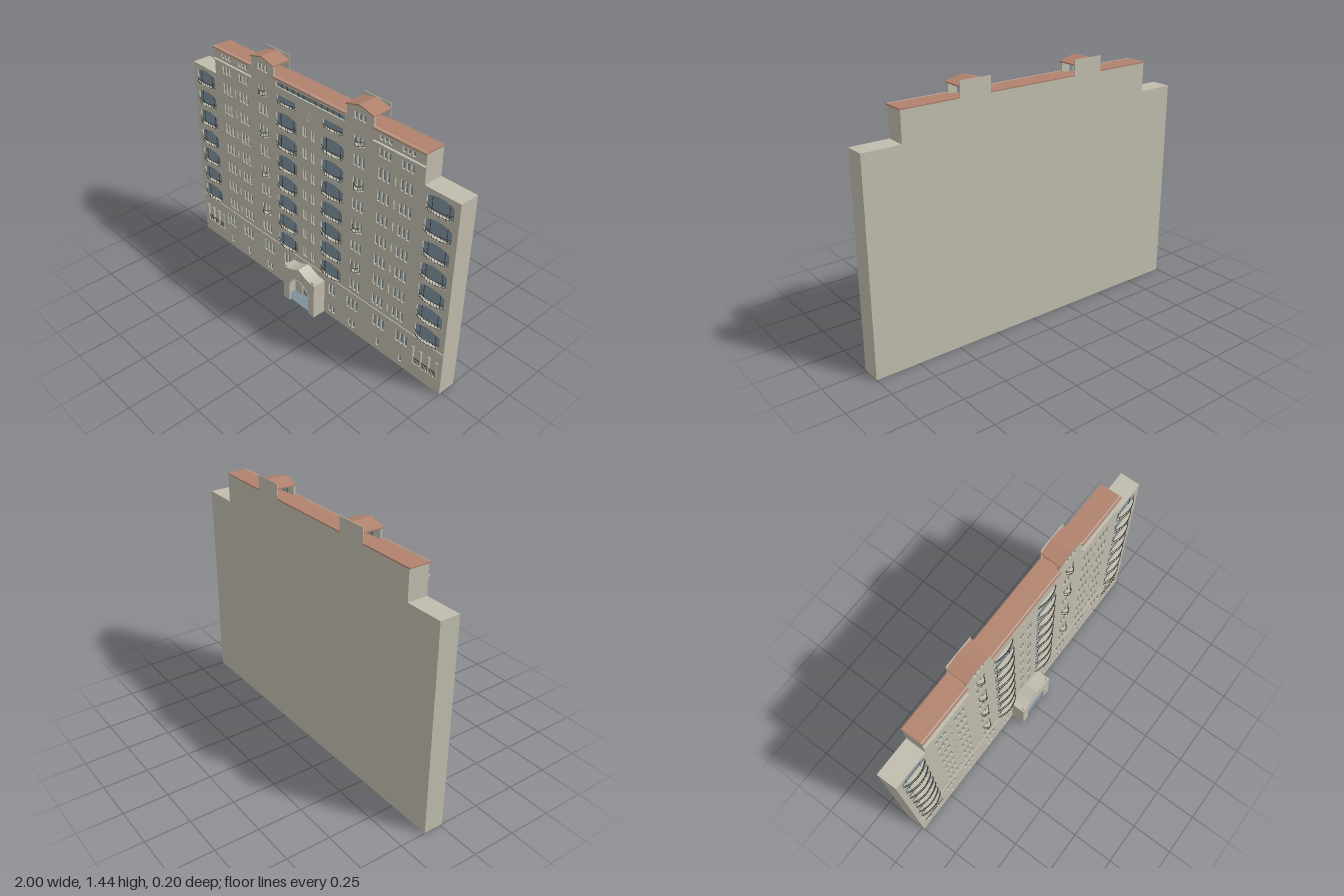
import * as THREE from 'three';

const mat = (name, color) => Object.assign(new THREE.MeshStandardMaterial({ color }), { name });

export function createModel() {
  const model = new THREE.Group();
  const wall = mat('warm stone', 0xbfbbac);
  const glass = mat('blue grey glass', 0x7c8f9b);
  const roof = mat('terracotta', 0xb0826d);
  const iron = mat('dark iron', 0x3a3733);
  const FRONT = 0.015, INNER = 0.003, BACK = -0.1;

  const add = (name, geo, material, x = 0, y = 0, z = 0, parent = model) => {
    const m = new THREE.Mesh(geo, material);
    m.name = name;
    m.position.set(x, y, z);
    parent.add(m);
    return m;
  };
  // box given by its low and high corners
  const box = (name, material, x0, x1, y0, y1, z0, z1, parent) =>
    add(name, new THREE.BoxGeometry(x1 - x0, y1 - y0, z1 - z0), material,
      (x0 + x1) / 2, (y0 + y1) / 2, (z0 + z1) / 2, parent);
  const extrude = (shape, depth) =>
    new THREE.ExtrudeGeometry(shape, { depth, bevelEnabled: false, curveSegments: 12 });
  const mirror = (f) => [-1, 1].forEach(f);

  // arched or square opening outline
  const openingShape = (x, y0, y1, w, rise, Type = THREE.Shape) => {
    const s = new Type();
    s.moveTo(x - w / 2, y0);
    s.lineTo(x + w / 2, y0);
    s.lineTo(x + w / 2, y1 - rise);
    if (rise) s.quadraticCurveTo(x, y1 + rise, x - w / 2, y1 - rise);
    else s.lineTo(x - w / 2, y1);
    s.lineTo(x - w / 2, y0);
    return s;
  };
  // arched doorway notch drawn along the ground line, right to left or left to right
  const notch = (s, r, spring) => {
    s.lineTo(-r, 0);
    s.lineTo(-r, spring);
    s.absarc(0, spring, r, Math.PI, 0, true);
    s.lineTo(r, 0);
  };

  // front wall outline with door notch, stepped ends and two gabled towers
  const T0 = 0.273, T1 = 0.455, TM = (T0 + T1) / 2;
  const facade = new THREE.Shape();
  facade.moveTo(-1, 0);
  notch(facade, 0.06, 0.09);
  [[1, 0], [1, 1.19], [0.785, 1.19], [0.785, 1.353], [T1, 1.353], [T1, 1.408], [TM, 1.432], [T0, 1.408], [T0, 1.353],
    [-T0, 1.353], [-T0, 1.408], [-TM, 1.432], [-T1, 1.408], [-T1, 1.353], [-0.785, 1.353], [-0.785, 1.19], [-1, 1.19]]
    .forEach(([x, y]) => facade.lineTo(x, y));

  const windows = new THREE.Group();
  windows.name = 'windows';
  model.add(windows);
  const opening = (x, y0, y1, w, rise = 0, material = glass) => {
    facade.holes.push(openingShape(x, y0, y1, w, rise, THREE.Path));
    box('windowPane', material, x - w / 2 - 0.001, x + w / 2 + 0.001, y0 - 0.001, y1 + 0.001, INNER, INNER + 0.003, windows);
  };
  const group = (x, y0, y1, n = 3, w = 0.018, step = 0.029) => {
    for (let i = 0; i < n; i++) opening(x + (i - (n - 1) / 2) * step, y0, y1, w);
  };

  // bowed balcony: slab, two rails, balusters and a rounded corbel
  const balcony = (x, y, w, d, h, corbel = true) => {
    const g = new THREE.Group();
    g.name = 'balcony';
    g.position.set(x, y, FRONT);
    model.add(g);
    const s = new THREE.Shape();
    s.moveTo(-w / 2, 0);
    s.quadraticCurveTo(0, 2 * d, w / 2, 0);
    add('balconySlab', extrude(s, 0.006).rotateX(Math.PI / 2), wall, 0, 0.006, 0, g);
    const curve = new THREE.QuadraticBezierCurve3(
      new THREE.Vector3(-w / 2, 0, 0), new THREE.Vector3(0, 0, 2 * d - 0.003), new THREE.Vector3(w / 2, 0, 0));
    const rail = new THREE.TubeGeometry(curve, 10, 0.0018, 4);
    add('topRail', rail, iron, 0, h, 0, g);
    add('bottomRail', rail, iron, 0, 0.009, 0, g);
    const n = Math.round(w / 0.016);
    for (let i = 1; i < n; i++) {
      const p = curve.getPoint(i / n);
      add('baluster', new THREE.BoxGeometry(0.0014, h, 0.0014), iron, p.x, h / 2, p.z, g);
    }
    if (corbel) {
      add('corbel', new THREE.SphereGeometry(1, 12, 5, 0, Math.PI * 2, Math.PI / 2, Math.PI / 2), wall, 0, 0, 0, g)
        .scale.set(w * 0.2, 0.018, d * 0.7);
    }
  };

  // seven repeated upper floors
  for (let i = 0; i < 7; i++) {
    const y = 0.337 + i * 0.131;
    mirror((s) => {
      [0.68, 0.535, 0.365].forEach((x) => group(s * x, y - 0.032, y + 0.032));
      opening(s * 0.61, y - 0.025, y + 0.025, 0.008);
      group(s * 0.032, y - 0.03, y + 0.03, 2, 0.014, 0.018);
      [0.885, 0.177].forEach((x) => {
        const b = y - 0.049;
        opening(s * x, b, b + 0.092, 0.164, 0.02);
        [-0.052, 0.052].forEach((o) =>
          box('mullion', iron, s * x + o - 0.001, s * x + o + 0.001, b, b + 0.088, 0.006, 0.009, windows));
        balcony(s * x, b, 0.166, 0.025, 0.034);
      });
    });
  }

  // attic windows, tower windows and small balconies
  mirror((s) => {
    [0.68, 0.535].forEach((x) => {
      group(s * x, 1.215, 1.26);
      group(s * x, 1.307, 1.332, 3, 0.02);
    });
    group(s * TM, 1.215, 1.26);
    group(s * TM, 1.352, 1.39, 3, 0.02);
    opening(s * 0.177, 1.215, 1.26, 0.145);
    balcony(s * 0.177, 1.212, 0.15, 0.018, 0.026, false);
    [1.213, 0.958, 0.698, 0.438].forEach((y) => balcony(s * TM, y, 0.056, 0.025, 0.034));
  });
  opening(0, 1.305, 1.333, 0.516);
  for (let i = -5; i <= 5; i++)
    box('bandMullion', iron, i * 0.043 - 0.001, i * 0.043 + 0.001, 1.305, 1.333, 0.006, 0.01, windows);

  // ground floor windows and corner arcades
  mirror((s) => {
    [0.72, 0.553, 0.352].forEach((x) => group(s * x, 0.16, 0.233, 3, 0.021, 0.031));
    group(s * 0.19, 0.16, 0.233, 2, 0.021, 0.028);
    [0.72, 0.553].forEach((x) => opening(s * x, 0.032, 0.078, 0.02));
    [0.352, 0.19].forEach((x) => group(s * x, 0.032, 0.078, 2, 0.02, 0.03));
    const a = s * 0.885;
    for (let i = -1; i <= 1; i++) opening(a + i * 0.054, 0.085, 0.225, 0.047, 0.022, wall);
    for (let i = 0; i < 4; i++) {
      const x = a + (i - 1.5) * 0.054;
      add('arcadeColumn', new THREE.CylinderGeometry(0.0035, 0.004, 0.105, 10), wall, x, 0.1375, FRONT);
      box('arcadeCapital', wall, x - 0.006, x + 0.006, 0.19, 0.2, 0.01, 0.021);
    }
    box('arcadeRail', iron, a - 0.08, a + 0.08, 0.12, 0.123, 0.011, 0.014);
    for (let i = -9; i <= 9; i++)
      box('arcadeBaluster', iron, a + i * 0.008 - 0.0006, a + i * 0.008 + 0.0006, 0.085, 0.12, 0.011, 0.013);
  });

  // hollow shell: front, back, ends and stepped tops
  add('frontWall', extrude(facade, FRONT - INNER), wall, 0, 0, INNER);
  const rear = new THREE.Shape();
  rear.moveTo(-1, 0);
  [[1, 0], [1, 1.19], [0.785, 1.19], [0.785, 1.353], [T1, 1.353], [T1, 1.44], [T0, 1.44], [T0, 1.353],
    [-T0, 1.353], [-T0, 1.44], [-T1, 1.44], [-T1, 1.353], [-0.785, 1.353], [-0.785, 1.19], [-1, 1.19]]
    .forEach(([x, y]) => rear.lineTo(x, y));
  add('backWall', extrude(rear, 0.004), wall, 0, 0, BACK);
  mirror((s) => {
    const span = (name, m, a, b, ...r) => box(name, m, Math.min(s * a, s * b), Math.max(s * a, s * b), ...r);
    span('endWall', wall, 0.996, 1, 0, 1.19, BACK + 0.004, INNER);
    span('upperEndWall', wall, 0.781, 0.785, 1.186, 1.353, BACK + 0.004, INNER);
    span('wingTop', wall, 0.785, 0.996, 1.186, 1.19, BACK + 0.004, INNER);
    span('roofSlab', roof, T1, 0.788, 1.353, 1.36, BACK, 0.027);
    span('roofTrim', wall, T1, 0.788, 1.36, 1.3615, 0.014, 0.018);
    span('atticCornice', wall, T1 + 0.005, 0.785, 1.284, 1.291, FRONT, 0.029);
    for (let i = 0; i < 16; i++)
      span('dentil', wall, 0.468 + i * 0.02, 0.475 + i * 0.02, 1.276, 1.284, FRONT, 0.023);
    // tower floor and gable roof, open at the sides
    span('towerFloor', roof, T0, T1, 1.349, 1.355, BACK + 0.004, INNER);
    const gable = new THREE.Shape();
    [[-0.094, 1.408], [0, 1.433], [0.094, 1.408], [0.094, 1.415], [0, 1.44], [-0.094, 1.415]]
      .forEach(([x, y], i) => (i ? gable.lineTo(x, y) : gable.moveTo(x, y)));
    add('towerRoof', extrude(gable, 0.118), roof, s * TM, 0, BACK + 0.004);
  });
  box('centreRoofSlab', roof, -T0, T0, 1.353, 1.36, BACK, 0.027);
  box('centreRoofTrim', wall, -T0, T0, 1.36, 1.3615, 0.014, 0.018);
  box('baseCornice', wall, -1, 1, 0.27, 0.278, FRONT, 0.02);
  add('ovalMedallion', new THREE.TorusGeometry(0.015, 0.002, 6, 24), wall, 0, 1.22, FRONT).scale.y = 1.5;

  // door with fan bars
  add('door', new THREE.ShapeGeometry(openingShape(0, 0, 0.152, 0.122, 0.06)), glass, 0, 0, 0.004);
  for (let i = 1; i < 6; i++) {
    const a = (i * Math.PI) / 6;
    add('fanBar', new THREE.BoxGeometry(0.06, 0.0015, 0.002), iron, Math.cos(a) * 0.03, 0.09 + Math.sin(a) * 0.03, 0.006)
      .rotation.z = a;
  }
  box('doorTransom', iron, -0.06, 0.06, 0.089, 0.091, 0.005, 0.007);
  [-0.03, 0, 0.03].forEach((x) => box('doorBar', iron, x - 0.001, x + 0.001, 0, 0.09, 0.005, 0.007));

  // entrance porch with a curved gable, open arch and ball finials
  const crown = (s) => {
    s.lineTo(0.13, 0.228);
    s.lineTo(0.1, 0.23);
    s.quadraticCurveTo(0.05, 0.24, 0, 0.272);
    s.quadraticCurveTo(-0.05, 0.24, -0.1, 0.23);
    s.lineTo(-0.13, 0.228);
    s.lineTo(-0.13, 0);
  };
  const porchFront = new THREE.Shape();
  porchFront.moveTo(-0.13, 0);
  notch(porchFront, 0.08, 0.105);
  porchFront.lineTo(0.13, 0);
  crown(porchFront);
  add('porchFront', extrude(porchFront, 0.012), wall, 0, 0, 0.085);
  const porchShell = new THREE.Shape();
  porchShell.moveTo(-0.13, 0);
  [[-0.122, 0], [-0.122, 0.215], [0.122, 0.215], [0.122, 0], [0.13, 0]].forEach(([x, y]) => porchShell.lineTo(x, y));
  crown(porchShell);
  add('porchShell', extrude(porchShell, 0.07), wall, 0, 0, FRONT);
  box('porchFloor', glass, -0.122, 0.122, 0, 0.003, INNER, 0.085);
  add('porchArchMoulding', new THREE.TorusGeometry(0.082, 0.003, 6, 24, Math.PI), wall, 0, 0.105, 0.097);
  add('porchMedallion', new THREE.TorusGeometry(0.009, 0.0015, 6, 16), wall, 0, 0.232, 0.097);
  mirror((s) => {
    box('finialBase', wall, s * 0.115 - 0.009, s * 0.115 + 0.009, 0.222, 0.234, 0.08, 0.099);
    add('finialBall', new THREE.SphereGeometry(0.01, 12, 8), wall, s * 0.115, 0.242, 0.09);
  });
  return model;
}
